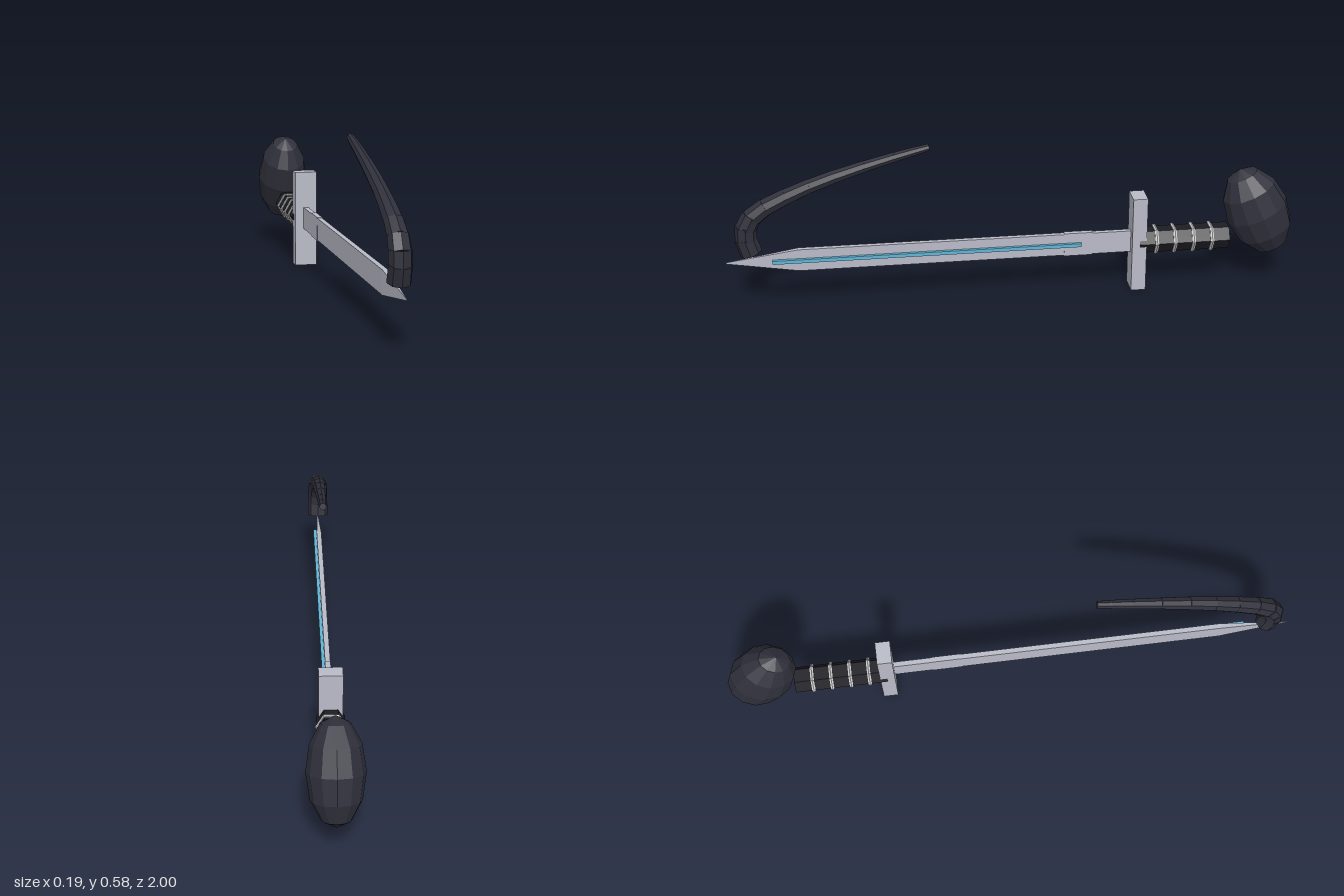
import * as THREE from 'three';

const AXIS_Y = 0.18; // height of the blade and grip axis

const material = (color) => new THREE.MeshStandardMaterial({ color, flatShading: true });

export function createModel() {
  const root = new THREE.Group();
  const steel = material(0xb9bbc7);
  const leather = material(0x1d1d24);
  const hide = material(0x30303c);
  const silver = material(0xcccccc);
  const blue = material(0x62b5d6);

  const add = (name, geometry, mat, parent = root) => {
    const mesh = new THREE.Mesh(geometry, mat);
    mesh.name = name;
    parent.add(mesh);
    return mesh;
  };

  // Box between two z values; its front end can be shrunk into a point
  const bar = (name, width, height, z0, z1, mat, parent, frontScale = 1) => {
    const geometry = new THREE.BoxGeometry(width, height, z1 - z0);
    const p = geometry.attributes.position;
    for (let i = 0; i < p.count; i++) {
      if (p.getZ(i) > 0) p.setXY(i, p.getX(i) * frontScale, p.getY(i) * frontScale);
    }
    geometry.computeVertexNormals();
    const mesh = add(name, geometry, mat, parent);
    mesh.position.set(0, AXIS_Y, (z0 + z1) / 2);
    return mesh;
  };

  // Blade with a pointed tip and a slightly thicker band near the guard
  const blade = new THREE.Group();
  blade.name = 'blade';
  root.add(blade);
  bar('bladeBody', 0.018, 0.08, -0.43, 0.75, steel, blade);
  bar('bladeTip', 0.018, 0.08, 0.75, 1, steel, blade, 0.06);
  bar('bladeBand', 0.019, 0.086, -0.28, -0.18, steel, blade);

  // Coloured inlay on the left face only
  const inlay = bar('bladeInlay', 0.012, 0.013, -0.24, 0.84, blue, blade);
  inlay.position.x = 0.014;

  // Cross guard
  bar('guard', 0.08, 0.352, -0.47, -0.418, steel).position.y = 0.177;

  // Six-sided grip with wire rings
  const grip = new THREE.CylinderGeometry(0.047, 0.047, 0.325, 6);
  grip.rotateY(Math.PI / 2).rotateX(Math.PI / 2);
  // One pair of corners points sideways
  grip.computeBoundingBox();
  if (grip.boundingBox.max.x < 0.046) grip.rotateZ(Math.PI / 6);
  add('grip', grip, leather).position.set(0, AXIS_Y, -0.6075);
  for (const z of [-0.507, -0.573, -0.64, -0.706]) {
    add('gripRing', new THREE.TorusGeometry(0.047, 0.007, 6, 6), silver).position.set(0, AXIS_Y, z);
  }

  // Egg-shaped pommel, leaning forward
  const pommel = add('pommel', new THREE.SphereGeometry(1, 12, 6), hide);
  pommel.scale.set(0.094, 0.175, 0.113);
  pommel.rotation.x = THREE.MathUtils.degToRad(24);
  pommel.position.set(0, 0.271, -0.875);

  // Curved tail of overlapping tapered segments: [z, y, radius]
  const tail = new THREE.Group();
  tail.name = 'tail';
  root.add(tail);
  const path = [
    [0.911, 0.215, 0.039], [0.925, 0.262, 0.038], [0.925, 0.305, 0.037],
    [0.905, 0.345, 0.035], [0.86, 0.38, 0.032], [0.79, 0.415, 0.029],
    [0.71, 0.449, 0.026], [0.62, 0.481, 0.024], [0.52, 0.512, 0.021],
    [0.42, 0.54, 0.018], [0.35, 0.558, 0.016], [0.289, 0.573, 0.013],
  ];
  const up = new THREE.Vector3(0, 1, 0);
  for (let i = 0; i < path.length - 1; i++) {
    const [z0, y0, r0] = path[i];
    const [z1, y1, r1] = path[i + 1];
    const dir = new THREE.Vector3(0, y1 - y0, z1 - z0);
    const overlap = i < path.length - 2 ? 0.012 : 0;
    const length = dir.length() + overlap;
    dir.normalize();
    const geometry = new THREE.CylinderGeometry(r1, r0, length, 8);
    const segment = add('tailSegment', geometry, hide, tail);
    segment.quaternion.setFromUnitVectors(up, dir);
    segment.position.set(0, y0, z0).addScaledVector(dir, length / 2);
  }

  return root;
}
